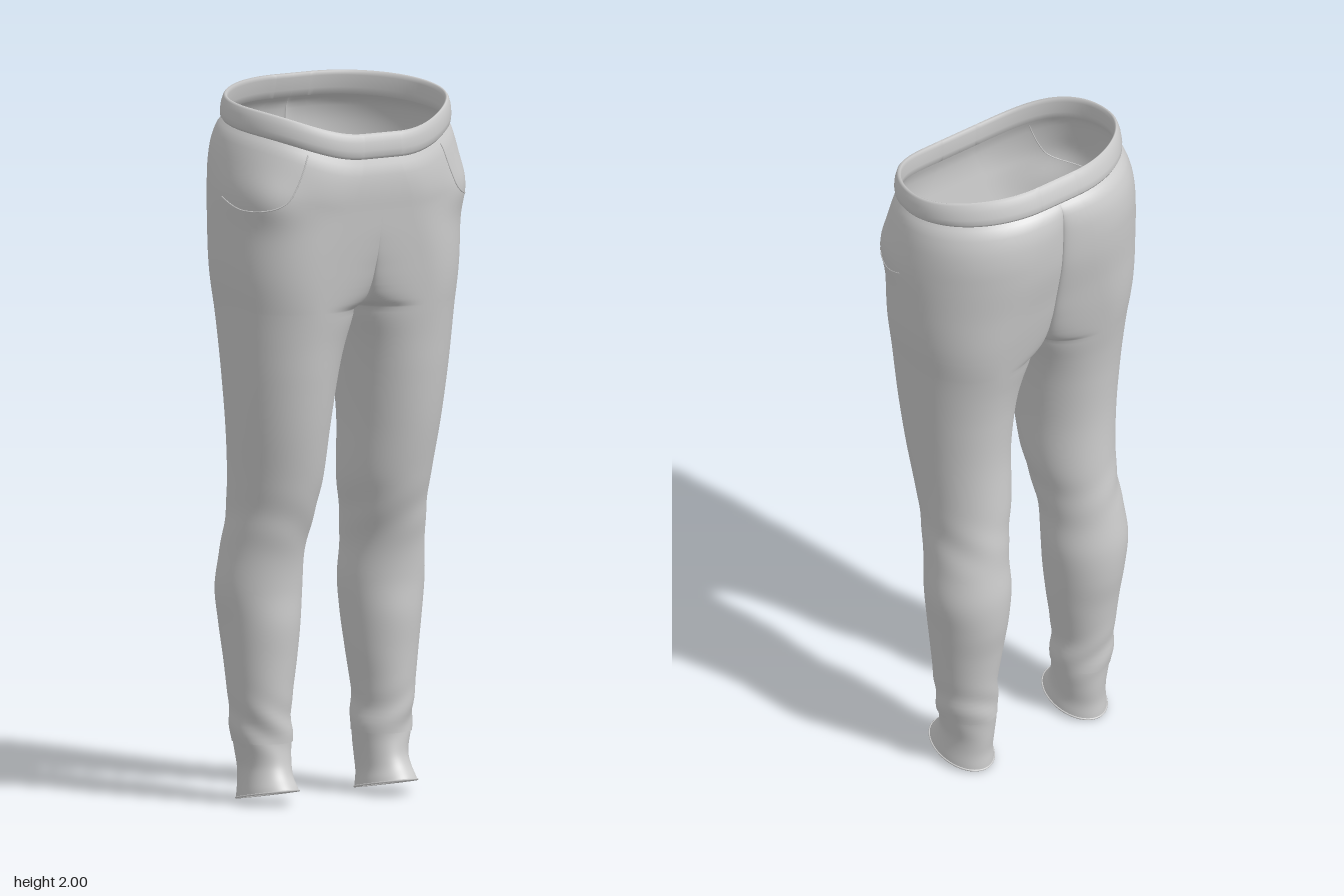
import * as THREE from 'three';
import { mergeGeometries, mergeVertices } from 'three/addons/utils/BufferGeometryUtils.js';

const CROTCH = 1.39, WAIST = 1.905, CUFF = 0.17;

// Silhouette of the left half: height, outer x, inner x, front z, back z
const SHAPE = [
  [0.00, 0.272, 0.118, 0.075, -0.140],
  [0.04, 0.268, 0.122, 0.055, -0.140],
  [0.10, 0.265, 0.120, 0.038, -0.145],
  [0.18, 0.280, 0.113, 0.030, -0.150],
  [0.27, 0.286, 0.118, 0.036, -0.155],
  [0.40, 0.300, 0.100, 0.045, -0.170],
  [0.50, 0.311, 0.089, 0.054, -0.187],
  [0.60, 0.322, 0.081, 0.055, -0.192],
  [0.70, 0.313, 0.083, 0.068, -0.181],
  [0.80, 0.303, 0.070, 0.096, -0.171],
  [0.90, 0.306, 0.053, 0.125, -0.164],
  [1.05, 0.320, 0.045, 0.160, -0.160],
  [1.20, 0.335, 0.029, 0.186, -0.170],
  [1.30, 0.344, 0.016, 0.200, -0.183],
  [1.39, 0.352, 0.000, 0.214, -0.200],
  [1.50, 0.365, 0.000, 0.229, -0.220],
  [1.60, 0.370, 0.000, 0.240, -0.236],
  [1.72, 0.367, 0.000, 0.250, -0.256],
  [1.82, 0.360, 0.000, 0.257, -0.258],
  [1.88, 0.345, 0.000, 0.255, -0.243],
  [1.905, 0.329, 0.000, 0.245, -0.222],
];

// Centre seam: height, share of the front depth, share of the back depth
const SEAM = [
  [1.39, 0, 0], [1.41, 0.52, 0.45], [1.45, 0.80, 0.70], [1.52, 0.94, 0.83],
  [1.60, 0.99, 0.88], [1.70, 1, 0.91], [1.82, 1, 0.93], [1.905, 1, 1],
];

const smooth = THREE.MathUtils.smoothstep;
const bump = (v, mid, width) => Math.exp(-(((v - mid) / width) ** 2));
const steps = (a, b, n) => Array.from({ length: n + 1 }, (_, i) => a + (b - a) * i / n);

// Smooth lookup in a table keyed by its first column
function lookup(table, y) {
  const last = table.length - 1;
  let i = 0;
  while (i < last - 1 && y > table[i + 1][0]) i++;
  const a = table[i], b = table[i + 1], h = b[0] - a[0];
  const t = THREE.MathUtils.clamp((y - a[0]) / h, 0, 1);
  const slope = (k, c) => {
    const p = table[Math.max(k - 1, 0)], n = table[Math.min(k + 1, last)];
    return (n[c] - p[c]) / (n[0] - p[0]);
  };
  return a.slice(1).map((v, k) => {
    const c = k + 1, t2 = t * t, t3 = t2 * t;
    return v * (2 * t3 - 3 * t2 + 1) + b[c] * (3 * t2 - 2 * t3)
      + h * (slope(i, c) * (t3 - 2 * t2 + t) + slope(i + 1, c) * (t3 - t2));
  });
}

// Point on the cloth: u runs from centre front round the outside to centre back
function cloth(u, y) {
  let [xo, xi, zf, zb] = lookup(SHAPE, y);
  xi = y >= CROTCH ? 0 : Math.max(xi, 0);
  const [kf, kb] = y <= CROTCH ? [0, 0] : lookup(SEAM, y).map((k) => Math.min(k, 1));
  // The two leg ovals grow into one oval towards the waist
  const cx = (xo + xi) / 2 - 0.08 * smooth(y, 1.4, 1.75) - 0.025 * smooth(y, 1.75, WAIST);
  const cz = (zf + zb) / 2;
  const q = u * Math.PI * 2, s = -Math.cos(q), c = Math.abs(Math.sin(q));
  const front = u <= 0.5, inner = s < 0;
  const k = inner ? (front ? kf : kb) : 0;
  // Inner thighs are flattened against each other at the crotch
  const round = inner ? c ** (1 - 0.4 * bump(y, CROTCH, 0.13)) : c;
  let x = cx + s * (inner ? cx - xi : xo - cx);
  let z = cz + ((front ? zf : zb) - cz) * (k + (1 - k) * round);
  // Slanting folds at the ankle and knee
  const fold = 1
    + 0.035 * bump(y, 0.22, 0.06) * Math.sin(55 * y + 4 * Math.sin(q + 1))
    + 0.014 * bump(y, 0.79, 0.07) * Math.sin(40 * y + 4 * Math.cos(q + 0.5));
  x = cx + (x - cx) * fold;
  z = cz + (z - cz) * fold;
  // Fullness of the pocket bag
  const bag = bump(y, 1.73, 0.08);
  x += bag * (0.010 * bump(u, 0.46, 0.07) + 0.012 * bump(u, 0.39, 0.05));
  z += bag * 0.014 * bump(u, 0.39, 0.05);
  // The waist dips to the front and the hem rises there
  const up = smooth(y, 1.5, WAIST) * (-0.13 * z - 14 * Math.max(z, 0) ** 4)
    + (1 - smooth(y, 0, 0.16)) * (0.2 * z + 0.03);
  return new THREE.Vector3(x, y + up, z);
}

// Grid surface from a point function; side -1 mirrors it
function grid(fn, nu, rows, side) {
  const pos = [], idx = [];
  rows.forEach((r) => {
    for (let i = 0; i <= nu; i++) {
      const p = fn(i / nu, r);
      pos.push(p.x * side, p.y, p.z);
    }
  });
  for (let j = 0; j < rows.length - 1; j++) {
    for (let i = 0; i < nu; i++) {
      const a = j * (nu + 1) + i, b = a + 1, c = a + nu + 1, d = c + 1;
      if (side > 0) idx.push(a, b, d, a, d, c);
      else idx.push(a, d, b, a, c, d);
    }
  }
  const g = new THREE.BufferGeometry();
  g.setAttribute('position', new THREE.Float32BufferAttribute(pos, 3));
  g.setIndex(idx);
  return g;
}

// Joins grids into one smooth skin
function weld(...parts) {
  const g = mergeVertices(mergeGeometries(parts), 1e-5);
  g.computeVertexNormals();
  return g;
}

export function createModel() {
  const model = new THREE.Group();
  model.name = 'trousers';
  const mat = new THREE.MeshStandardMaterial({ color: 0xcccccc, side: THREE.DoubleSide });
  const add = (name, geo) => {
    const m = new THREE.Mesh(geo, mat);
    m.name = name;
    model.add(m);
  };

  // Both legs and the hips in one welded cloth
  const rows = [
    ...steps(CUFF, CROTCH, 80),
    ...steps(CROTCH, 1.46, 14).slice(1),
    ...steps(1.46, WAIST, 34).slice(1),
  ];
  add('legsAndHips', weld(grid(cloth, 80, rows, 1), grid(cloth, 80, rows, -1)));

  // Waistband: rounded profile (outward, upward) swept round the waist, leaning in at the back
  const profile = [
    [-0.005, 0], [0.004, -0.002], [0.010, 0.006], [0.012, 0.022], [0.010, 0.045],
    [0.005, 0.063], [0, 0.069], [-0.005, 0.066], [-0.008, 0.055], [-0.008, 0.02], [-0.005, 0],
  ];
  const band = (u, [out, up]) => {
    const p = cloth(u, WAIST);
    const away = new THREE.Vector3(p.x, 0, p.z).normalize();
    const lean = 0.25 * up * smooth(-p.z, 0, 0.2);
    return p.addScaledVector(away, out).add(new THREE.Vector3(0, up, lean));
  };
  add('waistband', weld(grid(band, 100, profile, 1), grid(band, 100, profile, -1)));

  for (const side of [1, -1]) {
    const label = side > 0 ? 'left' : 'right';
    const mirror = new THREE.Vector3(side, 1, 1);

    // Cuff, stepped in slightly under the leg and flared at the hem
    const cuff = (u, y) => {
      const p = cloth(u, y), mid = cloth(0, y).add(cloth(0.5, y)).multiplyScalar(0.5);
      const k = 0.965 + 0.035 * (1 - smooth(y, 0, 0.06));
      p.x = mid.x + (p.x - mid.x) * k;
      p.z = mid.z + (p.z - mid.z) * k;
      return p;
    };
    add(label + 'Cuff', weld(grid(cuff, 64, steps(0, CUFF + 0.012, 20), side)));

    // Rolled edge of the hem
    const ring = steps(0, 1, 40).slice(0, -1).map((u) => cuff(u, 0).multiply(mirror));
    add(label + 'Hem', new THREE.TubeGeometry(new THREE.CatmullRomCurve3(ring, true), 80, 0.003, 6, true));

    // Curved pocket seam lying on the cloth
    const path = new THREE.SplineCurve([
      [0.345, 1.893], [0.348, 1.81], [0.36, 1.745], [0.39, 1.705], [0.44, 1.69], [0.49, 1.715],
    ].map(([u, y]) => new THREE.Vector2(u, y)));
    const seam = path.getPoints(40).map((p) => cloth(p.x, p.y).multiply(mirror));
    add(label + 'PocketSeam', new THREE.TubeGeometry(new THREE.CatmullRomCurve3(seam), 80, 0.002, 6));
  }
  return model;
}
